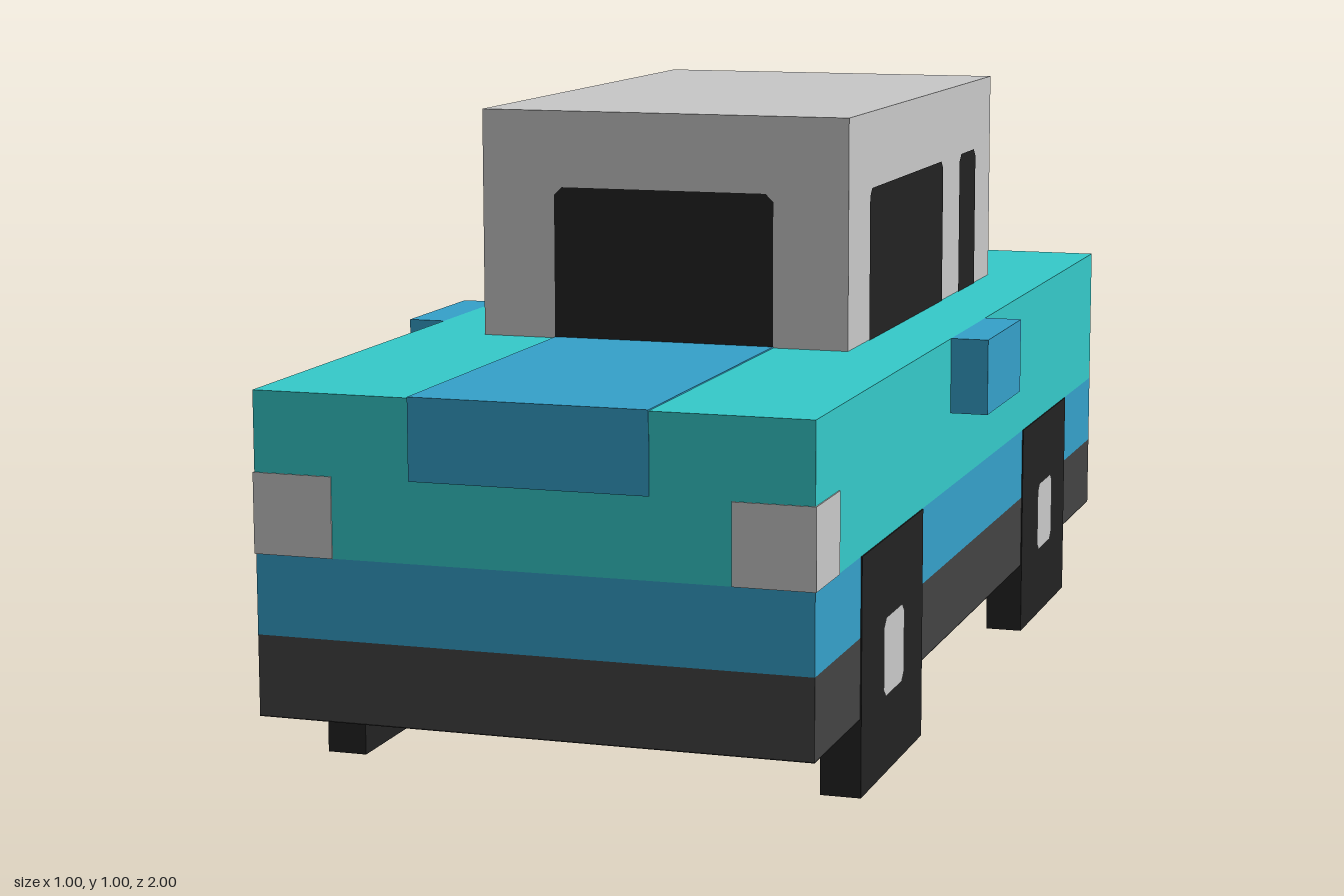
import * as THREE from 'three';

const material = (name, color) => {
  const m = new THREE.MeshStandardMaterial({ color });
  m.name = name;
  return m;
};

// Rectangle with slightly softened corners, centred on the origin
function softRect(w, h, r = 0.013) {
  const x = w / 2, y = h / 2;
  return new THREE.Shape([
    [-x + r, -y], [x - r, -y], [x, -y + r], [x, y - r],
    [x - r, y], [-x + r, y], [-x, y - r], [-x, -y + r],
  ].map(([a, b]) => new THREE.Vector2(a, b)));
}

export function createModel() {
  const car = new THREE.Group();
  car.name = 'car';
  const teal = material('teal paint', 0x35cbcb);
  const blue = material('blue paint', 0x35a1cb);
  const grey = material('light grey', 0xc9c9c9);
  const dark = material('dark grey', 0x444444);
  const black = material('black', 0x222222);

  // Box given by its minimum and maximum corners
  const box = (name, mat, [x0, y0, z0], [x1, y1, z1]) => {
    const mesh = new THREE.Mesh(new THREE.BoxGeometry(x1 - x0, y1 - y0, z1 - z0), mat);
    mesh.position.set((x0 + x1) / 2, (y0 + y1) / 2, (z0 + z1) / 2);
    mesh.name = name;
    car.add(mesh);
  };
  // Thin plate with soft corners, facing the direction given by turn
  const plate = (name, mat, w, h, [x, y, z], turn) => {
    const mesh = new THREE.Mesh(new THREE.ShapeGeometry(softRect(w, h)), mat);
    mesh.position.set(x, y, z);
    mesh.rotation.y = turn;
    mesh.name = name;
    car.add(mesh);
  };

  const W = 0.4375, T = 0.002;

  // Body in three stacked bands, with a black floor
  box('bodyUpper', teal, [-W, 0.375, -1], [W, 0.625, 1]);
  box('bodyMiddle', blue, [-W, 0.25, -1], [W, 0.375, 1]);
  box('bodyLower', dark, [-W, 0.125, -1], [W, 0.25, 1]);
  box('floor', black, [-W, 0.123, -1], [W, 0.125, 1]);

  // Cabin
  box('cabin', grey, [-0.3125, 0.625, -0.625], [0.3125, 1, 0.375]);

  // Hood stripe folding over the nose, and rear spoiler
  box('hoodStripe', blue, [-0.1875, 0.5, 0.375], [0.1875, 0.625 + T, 1 + T]);
  box('spoiler', blue, [-0.1875, 0.625, -1], [0.1875, 0.75, -0.875]);

  // Front and rear windows; the lower edge runs down into the body
  plate('windshield', black, 0.375, 0.275, [0, 0.7375, 0.375 + T], 0);
  plate('rearWindow', black, 0.375, 0.275, [0, 0.7375, -0.625 - T], Math.PI);

  for (const s of [1, -1]) {
    const side = s > 0 ? 'left' : 'right';
    const span = (a, b) => (s > 0 ? [a, b] : [-b, -a]);
    const turn = s * Math.PI / 2;

    // Side windows
    plate(side + 'FrontWindow', black, 0.5, 0.275, [s * (0.3125 + T), 0.7375, 0], turn);
    plate(side + 'BackWindow', black, 0.125, 0.275, [s * (0.3125 + T), 0.7375, -0.4375], turn);

    // Headlight wrapping round the corner
    const [h0, h1] = span(0.3125, W + T);
    box(side + 'Headlight', grey, [h0, 0.375, 0.875], [h1, 0.5, 1 + T]);

    // Mirrors, the right one sitting slightly further forward
    const [m0, m1] = span(W, 0.5);
    const mz = s > 0 ? 0.0625 : 0.125;
    box(side + 'Mirror', blue, [m0, 0.5, mz - 0.125], [m1, 0.625, mz + 0.125]);

    // Square wheels with hubs
    const [w0, w1] = span(0.375, W + T);
    for (const z of [0.5625, -0.5625]) {
      const end = z > 0 ? 'Front' : 'Back';
      box(side + end + 'Wheel', black, [w0, 0, z - 0.1875], [w1, 0.375, z + 0.1875]);
      plate(side + end + 'Hub', grey, 0.125, 0.125, [s * (W + 2 * T), 0.1875, z], turn);
    }
  }
  return car;
}
